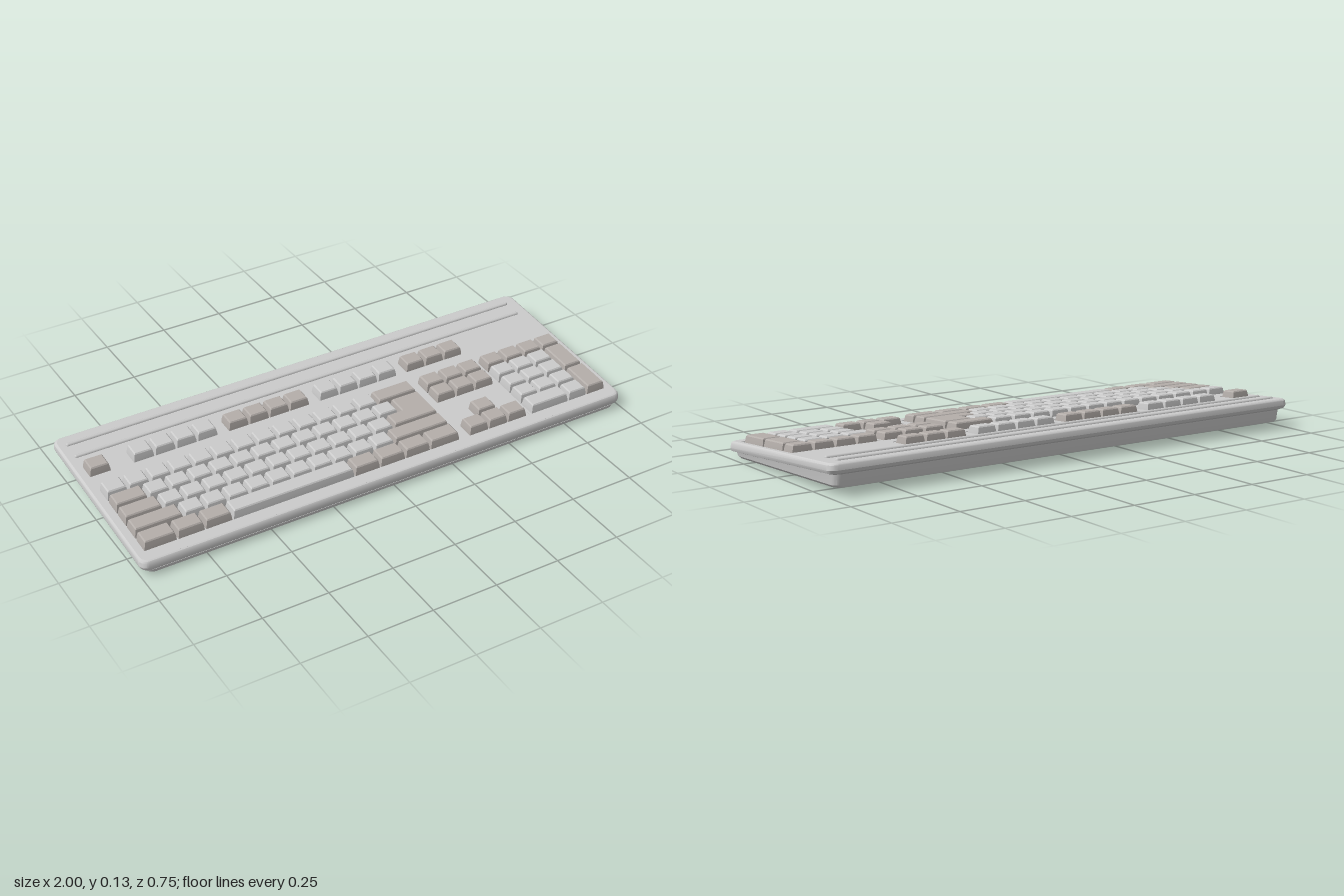
import * as THREE from 'three';
import { toCreasedNormals } from 'three/addons/utils/BufferGeometryUtils.js';

const casing = new THREE.MeshStandardMaterial({ color: 0xcccccc });
const darkCap = new THREE.MeshStandardMaterial({ color: 0xb4aeaa });

const U = 0.0848, P = 0.073;          // key pitch across and in depth
const X0 = -0.96;                     // left edge of the key field
const ROWS = [-0.196, -0.054, -0.054 + P, -0.054 + 2 * P, -0.054 + 3 * P, -0.054 + 4 * P];
const WELL = 0.012;                   // depth of the key wells
const deckY = z => 0.088 - 0.0702 * z; // sloping top surface

// Skin closed rings of points (bottom to top), capping both ends
function loft(rings, crease = 0.5) {
  const pos = [], n = rings[0].length;
  const tri = (...pts) => pts.forEach(p => pos.push(p.x, p.y, p.z));
  for (let r = 0; r + 1 < rings.length; r++) {
    for (let j = 0; j < n; j++) {
      const k = (j + 1) % n, lo = rings[r], hi = rings[r + 1];
      tri(lo[j], hi[j], lo[k]);
      tri(lo[k], hi[j], hi[k]);
    }
  }
  const cap = (ring, up) => {
    const flat = ring.map(p => new THREE.Vector2(p.x, p.z));
    for (const [a, b, c] of THREE.ShapeUtils.triangulateShape(flat, [])) {
      const clockwise = THREE.ShapeUtils.area([flat[a], flat[b], flat[c]]) < 0;
      if (clockwise === up) tri(ring[a], ring[b], ring[c]);
      else tri(ring[a], ring[c], ring[b]);
    }
  };
  cap(rings[0], false);
  cap(rings[rings.length - 1], true);
  const g = new THREE.BufferGeometry();
  g.setAttribute('position', new THREE.Float32BufferAttribute(pos, 3));
  return toCreasedNormals(g, crease);
}

// Rounded rectangle ring, sloping from the front height to the back height
function caseRing([hw, zf, zb, yf, yb], radius = 0.028, steps = 5) {
  const ring = [];
  const corners = [[1, zf, -1], [-1, zf, -1], [-1, zb, 1], [1, zb, 1]];
  corners.forEach(([sx, zc, inward], i) => {
    for (let s = 0; s <= steps; s++) {
      const a = (i + s / steps) * Math.PI / 2;
      const x = sx * (hw - radius) + radius * Math.cos(a);
      const z = zc + inward * radius + radius * Math.sin(a);
      ring.push(new THREE.Vector3(x, yf + (yb - yf) * (zf - z) / (zf - zb), z));
    }
  });
  return ring;
}

// Tapered key cap; outline corners are [x, z, outward x sign, outward z sign]
function keyGeometry(outline) {
  const levels = [[0, -WELL - 0.004], [0.001, 0], [0.005, 0.02], [0.009, 0.0245]];
  return loft(levels.map(([inset, h]) => outline.map(([x, z, sx, sz]) => {
    const px = x - sx * (inset + 0.003), pz = z - sz * (inset * 0.8 + 0.0035);
    return new THREE.Vector3(px, h + deckY(pz), pz);
  })), 0.3);
}

function rectOutline(x0, x1, z0, z1) {
  return [[x1, z0, 1, -1], [x1, z1, 1, 1], [x0, z1, -1, 1], [x0, z0, -1, -1]];
}

// Top panel with openings around each block of keys
function deckGeometry() {
  const at = p => new THREE.Vector2(p.x, -p.z);
  const shape = new THREE.Shape(caseRing([0.99, 0.363, -0.363, 0, 0]).map(at));
  const m = 0.006;
  const hole = pts => shape.holes.push(new THREE.Path(pts.map(([x, z, sx, sz]) =>
    new THREE.Vector2(x + sx * m, -(z + sz * m)))));
  const block = (u, w, row, rows) => hole(rectOutline(
    X0 + u * U, X0 + (u + w) * U, ROWS[row], ROWS[row] + rows * P));
  [[0, 1, 0, 1], [2, 4, 0, 1], [6.5, 4, 0, 1], [11, 4, 0, 1], [15.5, 3, 0, 1],
    [0, 15, 1, 5], [15.5, 3, 1, 2], [18.75, 4, 1, 5]].forEach(b => block(...b));
  // T-shaped opening for the arrow keys
  const ax = [15.5, 16.5, 17.5, 18.5].map(u => X0 + u * U);
  const [zt, zm, zb] = [ROWS[4], ROWS[5], ROWS[5] + P];
  hole([[ax[2], zt, 1, -1], [ax[2], zm, 1, -1], [ax[3], zm, 1, -1], [ax[3], zb, 1, 1],
    [ax[0], zb, -1, 1], [ax[0], zm, -1, -1], [ax[1], zm, -1, -1], [ax[1], zt, -1, -1]]);
  const g = new THREE.ExtrudeGeometry(shape, { depth: WELL + 0.002, bevelEnabled: false });
  g.rotateX(-Math.PI / 2).translate(0, -WELL - 0.002, 0);
  const p = g.attributes.position;
  for (let i = 0; i < p.count; i++) p.setY(i, p.getY(i) + deckY(p.getZ(i)));
  g.computeVertexNormals();
  return g;
}

export function createModel() {
  const model = new THREE.Group();
  model.name = 'keyboard';
  const add = (parent, name, geometry, material = casing) => {
    const mesh = new THREE.Mesh(geometry, material);
    mesh.name = name;
    parent.add(mesh);
    return mesh;
  };

  // Casing: [half width, front z, back z, front y, back y]
  add(model, 'lowerCase', loft([
    [0.966, 0.357, -0.35, 0, 0.0255],
    [0.974, 0.366, -0.352, 0.008, 0.034],
    [0.978, 0.37, -0.355, 0.022, 0.074],
  ].map(r => caseRing(r))));
  add(model, 'upperCase', loft([
    [0.976, 0.367, -0.354, 0.02, 0.071],
    [0.996, 0.372, -0.369, 0.027, 0.079],
    [1.0, 0.374, -0.374, 0.038, 0.09],
    [0.998, 0.371, -0.371, 0.055, 0.107],
    [0.995, 0.368, -0.368, 0.06, 0.111],
    [0.99, 0.363, -0.363, 0.0625, 0.1135],
    [0.986, 0.359, -0.359, 0.0628 - WELL, 0.1132 - WELL],
  ].map(r => caseRing(r))));
  add(model, 'deck', deckGeometry());

  // Two raised ridges along the back
  for (const z of [-0.317, -0.243]) {
    const ridge = add(model, 'ridge', new THREE.CapsuleGeometry(0.008, 1.9, 4, 10));
    ridge.rotation.z = Math.PI / 2;
    ridge.position.set(-0.008, deckY(z), z);
  }

  // Keys, placed in key units from the left edge
  const keys = new THREE.Group();
  keys.name = 'keys';
  model.add(keys);
  const key = (name, u, row, w = 1, dark = false, rows = 1) => add(keys, name,
    keyGeometry(rectOutline(X0 + u * U, X0 + (u + w) * U, ROWS[row], ROWS[row] + rows * P)),
    dark ? darkCap : casing);
  const run = (name, u, row, count, dark) => {
    for (let i = 0; i < count; i++) key(name, u + i, row, 1, dark);
  };

  // Separate back row
  key('escapeKey', 0, 0, 1, true);
  run('backRowKey', 2, 0, 4);
  run('backRowKey', 6.5, 0, 4, true);
  run('backRowKey', 11, 0, 4);
  run('systemKey', 15.5, 0, 3, true);

  // Main block
  run('numberKey', 0, 1, 13);
  key('backspaceKey', 13, 1, 2, true);
  key('tabKey', 0, 2, 1.5, true);
  run('letterKey', 1.5, 2, 12);
  key('capsLockKey', 0, 3, 1.75, true);
  run('letterKey', 1.75, 3, 11);
  key('leftShiftKey', 0, 4, 2.25, true);
  run('letterKey', 2.25, 4, 10);
  key('rightShiftKey', 12.25, 4, 2.75, true);
  let u = 0;
  for (const w of [1.5, 1.25, 1.25, 5.75, 1.25, 1.25, 1.25, 1.5]) {
    key(w > 5 ? 'spaceBar' : 'modifierKey', u, 5, w, w < 5);
    u += w;
  }
  // L-shaped enter key over two rows
  const [ex0, ex1, ex2] = [12.75, 13.5, 15].map(v => X0 + v * U);
  add(keys, 'enterKey', keyGeometry([
    [ex2, ROWS[2], 1, -1], [ex2, ROWS[4], 1, 1], [ex0, ROWS[4], -1, 1],
    [ex0, ROWS[3], -1, -1], [ex1, ROWS[3], -1, -1], [ex1, ROWS[2], -1, -1],
  ]), darkCap);

  // Navigation and arrow keys
  run('navigationKey', 15.5, 1, 3, true);
  run('navigationKey', 15.5, 2, 3, true);
  key('arrowKey', 16.5, 4, 1, true);
  run('arrowKey', 15.5, 5, 3, true);

  // Number pad
  run('padOperatorKey', 18.75, 1, 4, true);
  for (const row of [2, 3, 4]) run('padKey', 18.75, row, 3);
  key('padZeroKey', 18.75, 5, 2);
  key('padKey', 20.75, 5);
  key('padPlusKey', 21.75, 2, 1, true, 2);
  key('padEnterKey', 21.75, 4, 1, true, 2);

  return model;
}
